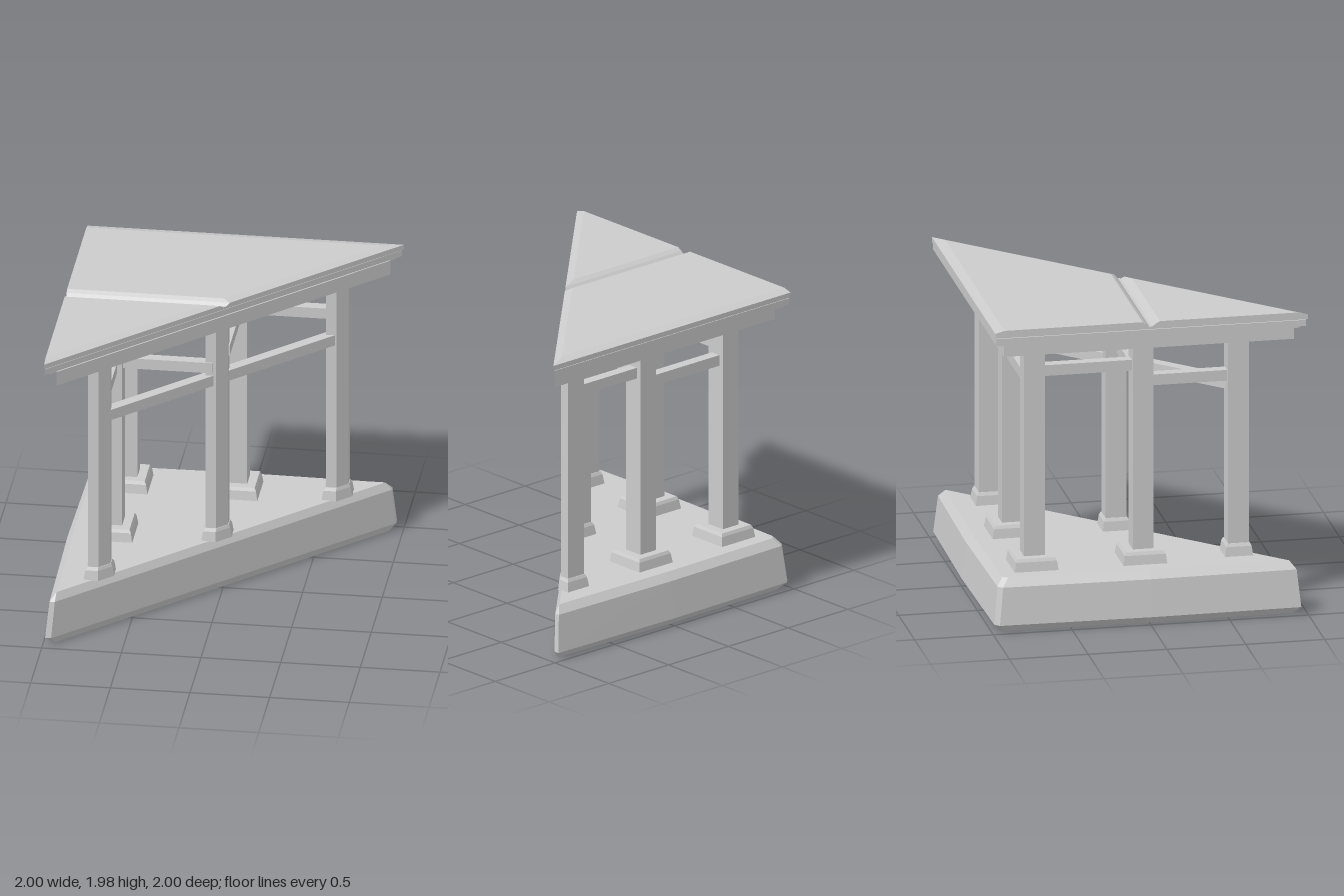
import * as THREE from 'three';

const material = new THREE.MeshStandardMaterial({ color: 0xcccccc, flatShading: true });

// Closed solid through stacked rings: { y, pts: [[x, z], ...] }, counterclockwise from above
function loft(rings) {
  const pos = [];
  const tri = (a, b, c) => pos.push(...a, ...b, ...c);
  const levels = rings.map(({ y, pts }) => pts.map(([x, z]) => [x, y, z]));
  const n = levels[0].length, top = levels[levels.length - 1], bottom = levels[0];
  for (let k = 0; k < levels.length - 1; k++) {
    for (let i = 0; i < n; i++) {
      const j = (i + 1) % n, lo = levels[k], hi = levels[k + 1];
      tri(lo[i], lo[j], hi[j]);
      tri(lo[i], hi[j], hi[i]);
    }
  }
  for (let i = 1; i < n - 1; i++) {
    tri(top[0], top[i], top[i + 1]);
    tri(bottom[0], bottom[i + 1], bottom[i]);
  }
  const g = new THREE.BufferGeometry();
  g.setAttribute('position', new THREE.Float32BufferAttribute(pos, 3));
  g.computeVertexNormals();
  return g;
}

// Square footprint, or one with its (+x, +z) corner cut off
function footprint(x, z, r, cut) {
  const p = [[x - r, z - r], [x - r, z + r]];
  return cut ? [...p, [x, z + r], [x + r, z], [x + r, z - r]]
    : [...p, [x + r, z + r], [x + r, z - r]];
}

// Right triangle with its long side on x + z = sum
const triangle = (a, sum) => [[a, a], [a, sum - a], [sum - a, a]];

// Plinth outline: bowed legs, blunt corners, inset by d
function plinthRing(y, d, sum) {
  const a = -0.985 + d, tip = 0.957 - d, c = 0.03;
  return { y, pts: [
    [a + c, a], [a, a + c], [-1 + d, 0], [a, tip],
    [sum - tip, tip], [tip, sum - tip], [tip, a], [0, -1 + d]] };
}

export function createModel() {
  const model = new THREE.Group();
  const add = (name, geometry) => {
    const m = new THREE.Mesh(geometry, material);
    m.name = name;
    model.add(m);
    return m;
  };

  // Stone plinth
  add('plinth', loft([
    plinthRing(0, 0.045, -0.02), plinthRing(0.05, 0, 0.01),
    plinthRing(0.29, 0.025, 0.005), plinthRing(0.34, 0.065, -0.03)]));

  // Columns on tapered footings; those along the diagonal are cut to it
  const posts = [
    [-0.69, -0.69, false], [0, -0.69, false], [-0.69, 0, false],
    [-0.69, 0.605, true], [-0.04, -0.04, true], [0.623, -0.71, true]];
  for (const [x, z, cut] of posts) {
    const r = cut ? 0.09 : 0.14;
    add('footing', loft([
      { y: 0.335, pts: footprint(x, z, r, cut) },
      { y: 0.4, pts: footprint(x, z, r - 0.01, cut) },
      { y: 0.42, pts: footprint(x, z, r - 0.02, cut) }]));
    add('column', loft([0.41, 1.79].map(y => ({ y, pts: footprint(x, z, 0.066, cut) }))));
  }

  // Tie beams between columns: from, to, underside height
  const beams = [
    [[-0.69, -0.69], [0, -0.69], 1.495],
    [[-0.69, 0], [-0.06, 0], 1.495],
    [[0, -0.69], [0.6, -0.69], 1.58],
    [[-0.69, -0.69], [-0.69, 0], 1.58],
    [[0, -0.69], [0, -0.06], 1.58],
    [[-0.69, 0], [-0.69, 0.59], 1.475],
    [[-0.69, 0.61], [-0.04, -0.04], 1.405],
    [[-0.04, -0.04], [0.62, -0.7], 1.405]];
  for (const [[x0, z0], [x1, z1], y] of beams) {
    const m = add('tieBeam', new THREE.BoxGeometry(Math.hypot(x1 - x0, z1 - z0), 0.07, 0.07));
    m.position.set((x0 + x1) / 2, y + 0.035, (z0 + z1) / 2);
    m.rotation.y = -Math.atan2(z1 - z0, x1 - x0);
  }

  // Stepped cornice under the roof
  const slab = (name, y0, y1, a, sum) =>
    add(name, loft([y0, y1].map(y => ({ y, pts: triangle(a, sum) }))));
  slab('lowerCornice', 1.785, 1.88, -0.917, 0.008);
  slab('corniceCore', 1.87, 1.935, -0.96, -0.01);
  slab('upperCornice', 1.885, 1.925, -0.98, 0.008);
  slab('roofSlab', 1.93, 1.945, -0.985, 0.015);

  // Two roof panels with sloped rims, parted by a shallow groove
  const backPanel = (y, back, front, sum) => ({ y, pts: [
    [-0.985, back], [-0.985, front], [sum - front, front], [sum - back, back]] });
  const frontPanel = (y, back, sum) => ({ y, pts: [
    [-0.985, back], [-0.985, sum + 0.985], [sum - back, back]] });
  add('backRoofPanel', loft([
    backPanel(1.94, -0.985, 0, 0.015), backPanel(1.962, -0.985, -0.025, 0.015),
    backPanel(1.978, -0.925, -0.05, -0.05)]));
  add('frontRoofPanel', loft([
    frontPanel(1.94, 0.005, 0.015), frontPanel(1.962, 0.03, 0.015),
    frontPanel(1.978, 0.06, -0.05)]));

  return model;
}
